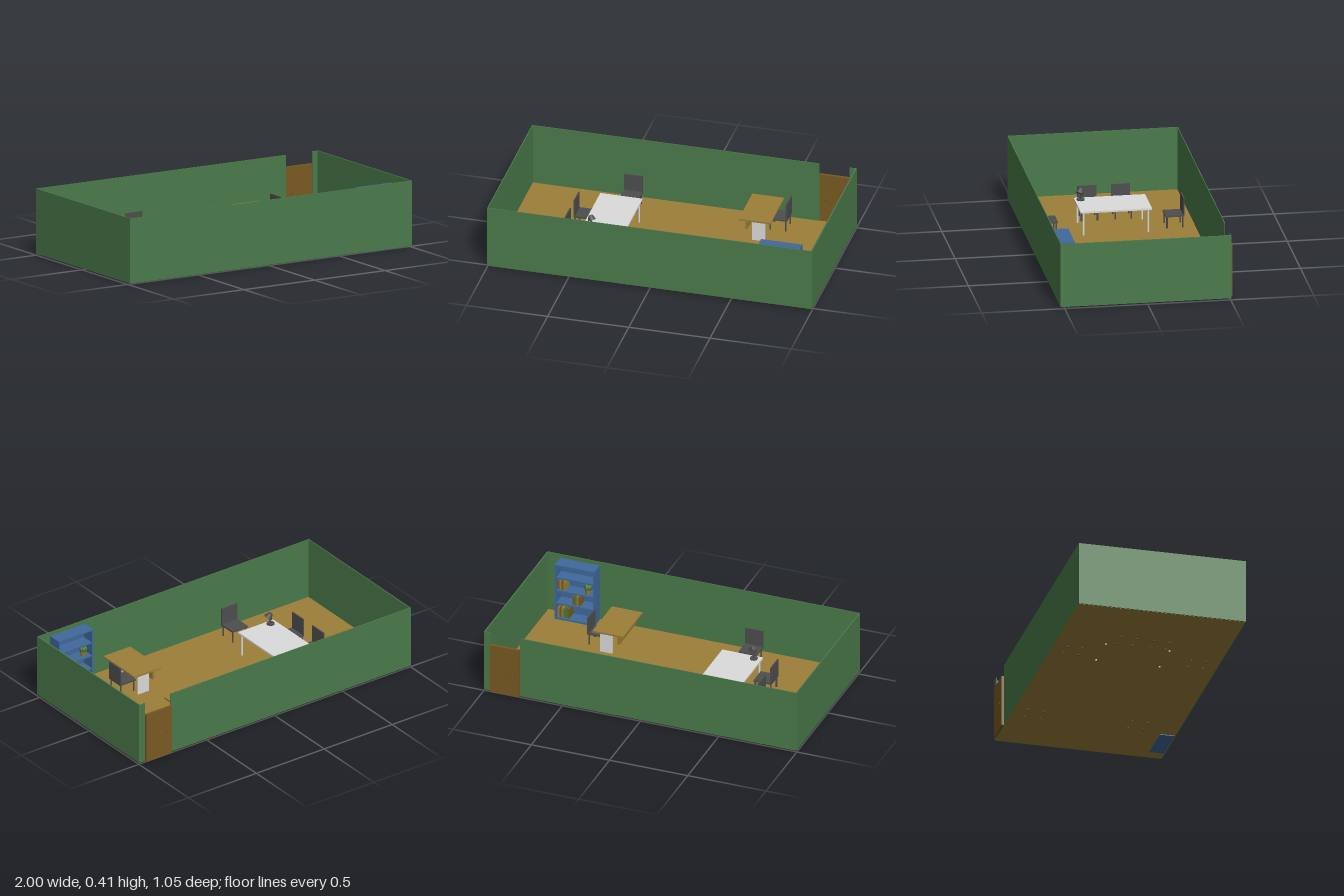
import * as THREE from 'three';

const mat = (name, color) => {
  const m = new THREE.MeshStandardMaterial({ color });
  m.name = name;
  return m;
};

export function createModel() {
  const wallGreen = mat('wall green', 0x4b7b4b);
  const oak = mat('oak', 0x9c7f38);
  const doorBrown = mat('door brown', 0x7a5a22);
  const white = mat('table white', 0xdcdcdc);
  const charcoal = mat('charcoal', 0x4e4e4e);
  const blue = mat('shelf blue', 0x40699c);
  const leaf = mat('leaf green', 0x4a7a3a);

  const room = new THREE.Group();
  room.name = 'office';

  const group = (name, x = 0, z = 0, turn = 0) => {
    const g = new THREE.Group();
    g.name = name;
    g.position.set(x, 0, z);
    g.rotation.y = turn;
    room.add(g);
    return g;
  };
  const add = (parent, name, geo, material, x, y, z) => {
    const m = new THREE.Mesh(geo, material);
    m.name = name;
    m.position.set(x, y, z);
    parent.add(m);
    return m;
  };
  // Box given by its minimum and maximum corners
  const box = (parent, name, material, x0, x1, y0, y1, z0, z1) =>
    add(parent, name, new THREE.BoxGeometry(x1 - x0, y1 - y0, z1 - z0), material,
      (x0 + x1) / 2, (y0 + y1) / 2, (z0 + z1) / 2);
  const rod = (parent, name, material, r, y0, y1, x, z) =>
    add(parent, name, new THREE.CylinderGeometry(r, r, y1 - y0, 12), material, x, (y0 + y1) / 2, z);

  // Floor and walls, with a full-height gap for the door
  const shell = group('shell');
  box(shell, 'floor', oak, -0.994, 0.994, 0.009, 0.014, -0.502, 0.521);
  box(shell, 'frontWall', wallGreen, -1, 1, 0.01, 0.405, 0.52, 0.525);
  box(shell, 'leftWall', wallGreen, 0.992, 1, 0.01, 0.405, -0.503, 0.52);
  box(shell, 'rightWall', wallGreen, -1, -0.994, 0.01, 0.405, -0.503, 0.52);
  box(shell, 'backWall', wallGreen, -0.994, 0.77, 0.01, 0.405, -0.503, -0.498);
  box(shell, 'backWallEnd', wallGreen, 0.957, 0.992, 0.01, 0.405, -0.503, -0.498);

  // Door with a knob on each side
  const door = group('door');
  box(door, 'doorLeaf', doorBrown, 0.77, 0.957, 0.01, 0.33, -0.518, -0.502);
  for (const z of [-0.521, -0.499]) {
    add(door, 'doorKnob', new THREE.SphereGeometry(0.006, 12, 8), charcoal, 0.81, 0.165, z);
  }

  // Chairs: local back is at -z
  const chair = (x, z, turn) => {
    const g = group('chair', x, z, turn);
    box(g, 'seat', charcoal, -0.057, 0.057, 0.084, 0.094, -0.057, 0.057);
    box(g, 'backrest', charcoal, -0.057, 0.057, 0.094, 0.2, -0.057, -0.049);
    for (const sx of [-1, 1]) for (const sz of [-1, 1]) {
      rod(g, 'leg', charcoal, 0.005, 0, 0.086, sx * 0.048, sz * 0.048);
    }
  };
  chair(-0.355, -0.373, 0);
  chair(-0.355, 0.39, Math.PI);
  chair(-0.563, -0.095, Math.PI / 2);
  chair(-0.563, 0.108, Math.PI / 2);
  chair(0.563, -0.373, -Math.PI / 2);
  chair(0.563, 0.264, -Math.PI / 2);

  // Meeting table
  const table = group('meetingTable', -0.375, -0.01);
  box(table, 'tableTop', white, -0.13, 0.13, 0.155, 0.166, -0.215, 0.215);
  for (const sx of [-1, 1]) for (const sz of [-1, 1]) {
    rod(table, 'tableLeg', white, 0.006, 0.002, 0.157, sx * 0.115, sz * 0.195);
  }

  // Small desk lamp on the table
  const lamp = group('lamp', -0.46, 0.17);
  rod(lamp, 'lampBase', charcoal, 0.024, 0.166, 0.174, 0, 0);
  const stem = rod(lamp, 'lampStem', charcoal, 0.005, 0.172, 0.226, 0.004, 0);
  stem.rotation.z = -0.2;
  const shade = add(lamp, 'lampShade', new THREE.CylinderGeometry(0.012, 0.026, 0.03, 16),
    charcoal, 0.006, 0.226, 0.004);
  shade.rotation.set(-0.35, 0, 0.4);

  // Two desks with panel legs and a hanging front panel
  for (const z of [-0.315, 0.302]) {
    const desk = group('desk', 0.463, z);
    box(desk, 'deskTop', oak, -0.098, 0.098, 0.145, 0.156, -0.156, 0.156);
    box(desk, 'modestyPanel', oak, -0.065, -0.05, 0.08, 0.145, -0.135, 0.135);
    for (const s of [-1, 1]) {
      box(desk, 'deskLeg', white, -0.02, 0.058, 0.012, 0.145, s * 0.132 - 0.007, s * 0.132 + 0.007);
    }
  }

  // Bookcase, open towards -z
  const shelf = group('bookcase', 0.787, 0.47);
  for (const s of [-1, 1]) {
    box(shelf, 'bookcaseSide', blue, s * 0.122 - 0.005, s * 0.122 + 0.005, 0.005, 0.385, -0.045, 0.045);
  }
  box(shelf, 'bookcaseBack', blue, -0.118, 0.118, 0.005, 0.384, 0.037, 0.045);
  box(shelf, 'plinth', blue, -0.118, 0.118, 0.005, 0.026, -0.045, 0.04);
  const levels = [0.026, 0.125, 0.212, 0.3, 0.385];
  for (const y of levels.slice(1)) {
    box(shelf, 'shelfBoard', blue, -0.118, 0.118, y - 0.009, y, -0.0445, 0.04);
  }

  // Books standing in rows
  const books = (x, y, colours) => colours.forEach((c, i) => {
    const h = 0.058 + 0.006 * ((i * 2) % 3);
    box(shelf, 'book', c, x - i * 0.013 - 0.012, x - i * 0.013, y, y + h, -0.03, 0.03);
  });
  books(0.114, levels[2], [doorBrown, oak, doorBrown, oak]);
  books(0.114, levels[0], [oak, doorBrown, oak, leaf, leaf, doorBrown]);
  books(0.02, levels[1], [doorBrown, leaf, oak, doorBrown]);

  // Potted plant
  add(shelf, 'plantPot', new THREE.CylinderGeometry(0.02, 0.015, 0.03, 12), oak,
    -0.075, levels[2] + 0.015, -0.015);
  for (let i = 0; i < 5; i++) {
    const a = (i / 5) * Math.PI * 2;
    const l = add(shelf, 'leaf', new THREE.SphereGeometry(0.013, 8, 6), leaf,
      -0.075 + Math.cos(a) * 0.012, levels[2] + 0.044, -0.015 + Math.sin(a) * 0.012);
    l.scale.y = 1.4;
  }

  return room;
}
